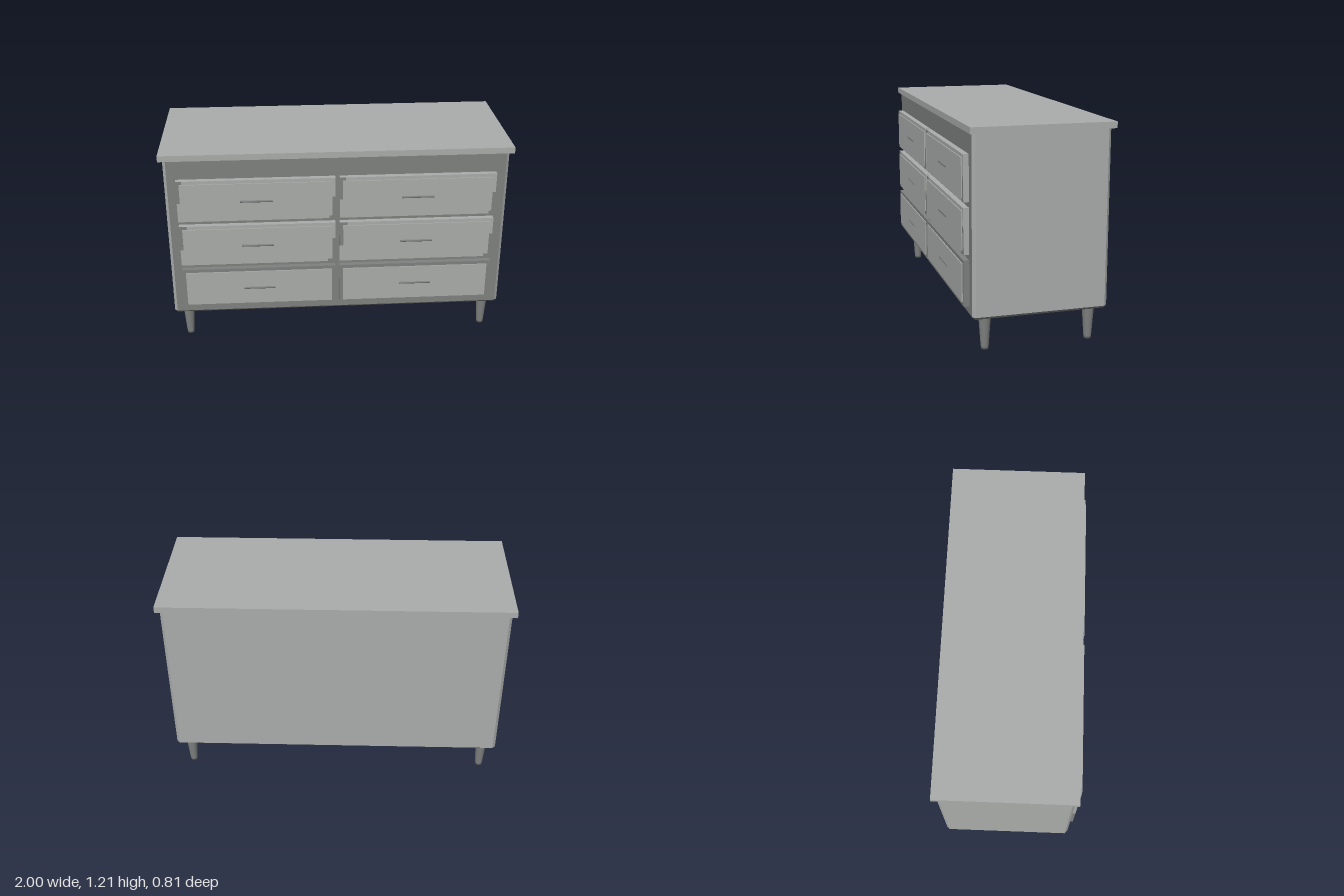
import * as THREE from 'three';

const paint = (name, color) => {
  const m = new THREE.MeshStandardMaterial({ color });
  m.name = name;
  return m;
};

export function createModel() {
  const light = paint('light grey', 0xa9acaa);
  const dark = paint('dark grey', 0x7e817f);
  const root = new THREE.Group();
  root.name = 'dresser';

  const add = (name, geometry, material, parent = root) => {
    const mesh = new THREE.Mesh(geometry, material);
    mesh.name = name;
    parent.add(mesh);
    return mesh;
  };
  // Box given by its limits on each axis
  const box = (name, [x0, x1], [y0, y1], [z0, z1], material, parent) => {
    const g = new THREE.BoxGeometry(x1 - x0, y1 - y0, z1 - z0);
    g.translate((x0 + x1) / 2, (y0 + y1) / 2, (z0 + z1) / 2);
    return add(name, g, material, parent);
  };

  // Cabinet: chamfered vertical corners and a chamfered lower edge
  const X = 0.977, ZF = 0.367, ZB = -0.387, c = 0.017;
  const ring = (y, inset) => {
    const x = X - inset, f = ZF - inset, b = ZB + inset, k = c - inset;
    return [[-x + k, y, f], [x - k, y, f], [x, y, f - k], [x, y, b + k],
      [x - k, y, b], [-x + k, y, b], [-x, y, b + k], [-x, y, f - k]];
  };
  const low = ring(0.187, c), mid = ring(0.203, 0), high = ring(1.175, 0);
  const quad = (a, b, d, e) => [a, b, d, a, d, e];
  const faces = (tris) => {
    const g = new THREE.BufferGeometry();
    g.setAttribute('position', new THREE.Float32BufferAttribute(tris.flat(), 3));
    g.computeVertexNormals();
    return g;
  };
  const walls = [], front = [], base = [];
  for (let i = 0; i < 8; i++) {
    const j = (i + 1) % 8;
    (i === 0 ? front : walls).push(...quad(mid[i], mid[j], high[j], high[i]));
    base.push(...quad(low[i], low[j], mid[j], mid[i]));
  }
  base.push(...quad(low[0], low[5], low[4], low[1]));
  add('cabinetWalls', faces(walls), light);
  add('cabinetFront', faces(front), dark);
  add('cabinetBase', faces(base), dark);

  // Overhanging top
  box('top', [-1, 1], [1.175, 1.21], [-0.405, 0.383], light);

  // Six drawers in three rows
  const rows = [[0.245, 0.497], [0.528, 0.779], [0.809, 1.06]];
  const inset = 0.02, zSlab = 0.398;
  for (const [col, [x0, x1]] of [[-0.91, -0.015], [0.01, 0.905]].entries()) {
    rows.forEach(([y0, y1], r) => {
      const drawer = new THREE.Group();
      drawer.name = `drawer${col * 3 + r + 1}`;
      root.add(drawer);
      box('drawerFrame', [x0, x1], [y0, y1], [ZF - 0.01, zSlab], r === 0 ? dark : light, drawer);
      box('drawerPanel', [x0 + inset, x1 - inset], [y0 + inset, y1 - inset], [zSlab - 0.01, 0.404], light, drawer);

      // Worn dark corners on the upper drawer frames
      if (r > 0) {
        const z = [zSlab - 0.002, zSlab + 0.001];
        const w = r === 1 ? 0.045 : 0.033, h = r === 1 ? 0.15 : 0.135, t = 0.018;
        box('frameStainLeft', [x0, x0 + t], [y1 - h, y1], z, dark, drawer);
        box('frameStainTop', [x0 + t, x0 + w], [y1 - t, y1], z, dark, drawer);
        box('frameStainRight', [x1 - t, x1], [y0, y0 + h], z, dark, drawer);
        box('frameStainBottom', [x1 - w, x1 - t], [y0, y0 + t], z, dark, drawer);
      }

      // Slim bar handle
      const bar = new THREE.CylinderGeometry(0.007, 0.007, 0.184, 6).rotateZ(Math.PI / 2);
      add('handle', bar, dark, drawer).position.set((x0 + x1) / 2, (y0 + y1) / 2 - 0.003, 0.403);
    });
  }

  // Tapered legs with a small foot cap
  const profile = [[0, 0], [0.02, 0], [0.021, 0.014], [0.022, 0.016], [0.034, 0.19]]
    .map(([x, y]) => new THREE.Vector2(x, y));
  for (const x of [-0.9, 0.9]) {
    for (const z of [0.283, -0.305]) {
      add('leg', new THREE.LatheGeometry(profile, 20), dark).position.set(x, 0, z);
    }
  }
  return root;
}
